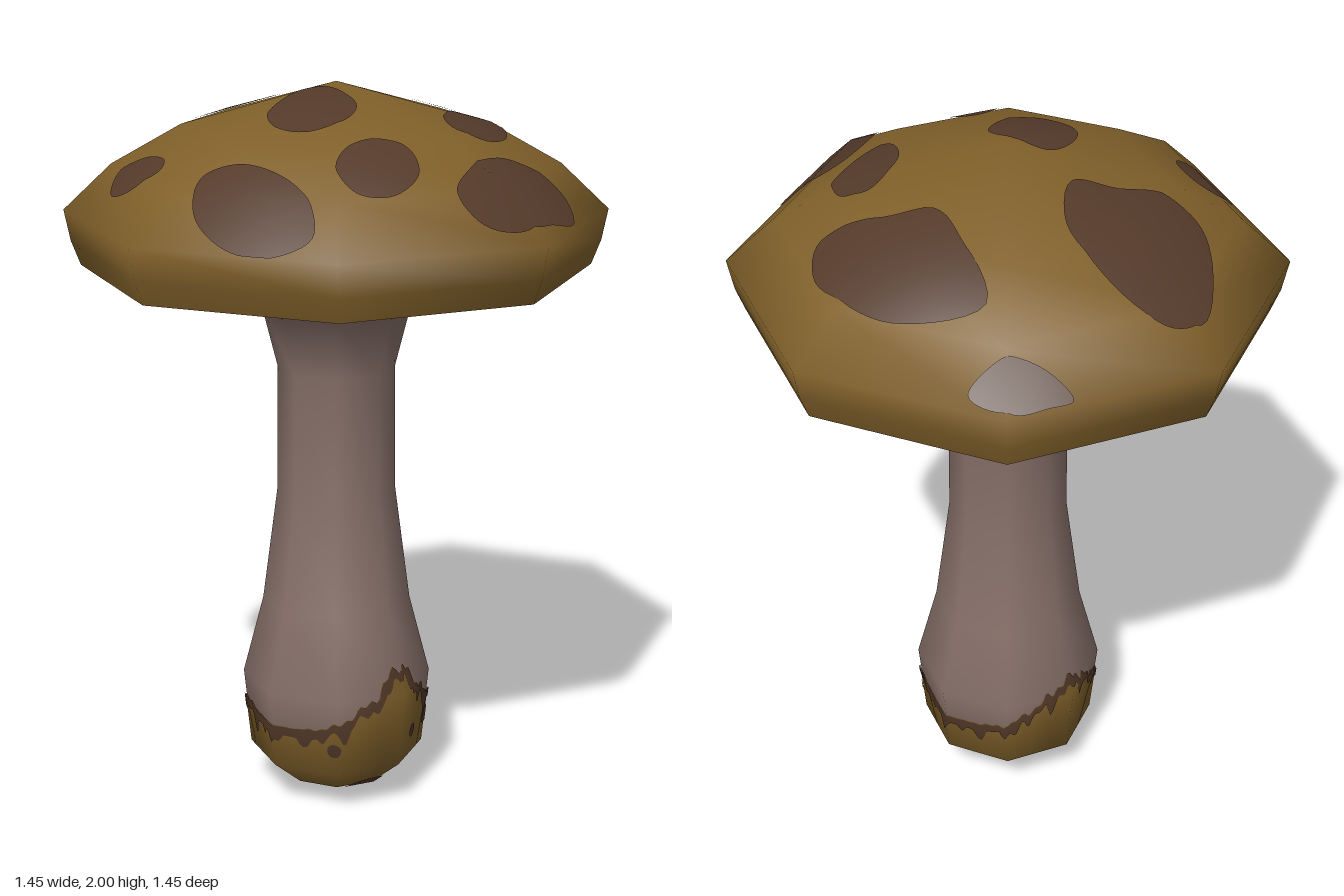
import * as THREE from 'three';

const STEP = Math.PI / 4; // both bodies are eight-sided

// Profiles as [radius, height], from bottom to top
const capProfile = [[0.685, 1.51], [0.71, 1.575], [0.727, 1.66], [0.597, 1.783], [0.41, 1.888], [0, 2]];
const stemProfile = [[0, 0], [0.145, 0.045], [0.24, 0.125], [0.262, 0.34], [0.205, 0.56], [0.163, 0.88],
  [0.16, 1.23], [0.2, 1.39], [0.39, 1.51], [0.685, 1.51]];

const material = (name, color) => {
  const m = new THREE.MeshStandardMaterial({ color });
  m.name = name;
  return m;
};

// Circumradius divided by distance from the axis, for an octagon
function octagonFactor(phi) {
  const a = ((phi % STEP) + STEP) % STEP;
  return Math.cos(a - STEP / 2) / Math.cos(STEP / 2);
}

// Smooth normal [radial, up] at each profile point
function profileNormals(profile) {
  const segment = profile.slice(1).map(([r, y], i) =>
    new THREE.Vector2(y - profile[i][1], profile[i][0] - r).normalize());
  return profile.map(([r], i) => {
    const a = segment[Math.max(i - 1, 0)], b = segment[Math.min(i, segment.length - 1)];
    const n = a.clone().add(b).normalize();
    return r === 0 ? new THREE.Vector2(0, Math.sign(n.y)) : n;
  });
}

// Interpolate a profile at a given radius (key 0) or height (key 1)
function sample(profile, key, value) {
  const normals = profileNormals(profile);
  for (let i = 0; i < profile.length - 1; i++) {
    const p = profile[i], q = profile[i + 1];
    const t = (value - p[key]) / (q[key] - p[key]);
    if (t >= -1e-6 && t <= 1 + 1e-6) {
      return {
        r: THREE.MathUtils.lerp(p[0], q[0], t),
        y: THREE.MathUtils.lerp(p[1], q[1], t),
        n: normals[i].clone().lerp(normals[i + 1], t).normalize(),
      };
    }
  }
  throw new Error('value outside profile');
}

// Point on an eight-sided body, lifted slightly along its normal
function surfacePoint(s, phi, lift) {
  const d = s.r / octagonFactor(phi);
  const normal = new THREE.Vector3(Math.sin(phi) * s.n.x, s.n.y, Math.cos(phi) * s.n.x);
  const position = new THREE.Vector3(Math.sin(phi) * d, s.y, Math.cos(phi) * d).addScaledVector(normal, lift);
  return { position, normal };
}

// Grid surface from a rule giving position and normal at (column, row)
function grid(columns, rows, rule) {
  const positions = [], normals = [], index = [];
  for (let i = 0; i <= columns; i++) {
    for (let j = 0; j <= rows; j++) {
      const { position, normal } = rule(i, j);
      positions.push(...position.toArray());
      normals.push(...normal.toArray());
      if (i < columns && j < rows) {
        const a = i * (rows + 1) + j, b = a + rows + 1;
        index.push(a, b, a + 1, b + 1, a + 1, b);
      }
    }
  }
  const g = new THREE.BufferGeometry();
  g.setAttribute('position', new THREE.Float32BufferAttribute(positions, 3));
  g.setAttribute('normal', new THREE.Float32BufferAttribute(normals, 3));
  g.setIndex(index);
  return g;
}

// Eight-sided smooth body
function body(profile) {
  const normals = profileNormals(profile);
  return grid(8, profile.length - 1, (i, j) =>
    surfacePoint({ r: profile[j][0] * octagonFactor(0), y: profile[j][1], n: normals[j] }, i * STEP, 0));
}

// Irregular patch lying on the cap, outlined by [x, z] points
function capSpot(points) {
  const curve = new THREE.CatmullRomCurve3(points.map(([x, z]) => new THREE.Vector3(x, 0, z)), true);
  let outline = curve.getPoints(48);
  if (!THREE.ShapeUtils.isClockWise(outline.map((p) => new THREE.Vector2(p.x, p.z)))) outline = outline.reverse();
  const centre = new THREE.Vector3();
  outline.slice(1).forEach((p) => centre.addScaledVector(p, 1 / 48));
  const top = capProfile.slice(2);
  return grid(48, 14, (i, j) => {
    const p = outline[i].clone().lerp(centre, j / 14);
    const phi = Math.atan2(p.x, p.z);
    const radius = Math.min(Math.hypot(p.x, p.z) * octagonFactor(phi), 0.726);
    return surfacePoint(sample(top, 0, radius), phi, 0.004);
  });
}

// Patch wrapped on the stem between two height rules
function stemBand(from, to, columns, low, high, lift) {
  const levels = stemProfile.slice(1, 5).map((p) => p[1]);
  return grid(columns, levels.length + 1, (i, j) => {
    const phi = from + (to - from) * i / columns;
    const lo = low(phi), hi = Math.max(high(phi), lo);
    const y = j === 0 ? lo : j > levels.length ? hi : THREE.MathUtils.clamp(levels[j - 1], lo, hi);
    return surfacePoint(sample(stemProfile, 1, y), phi, lift);
  });
}

export function createModel() {
  const model = new THREE.Group();
  model.name = 'mushroom';
  const ochre = material('ochre', 0x80602a);
  const brown = material('darkBrown', 0x543a2a);
  const pale = material('paleStem', 0x88716a);

  const add = (name, geometry, mat) => {
    const mesh = new THREE.Mesh(geometry, mat);
    mesh.name = name;
    model.add(mesh);
  };

  add('cap', body(capProfile), ochre);
  add('stemAndUnderside', body(stemProfile), pale);

  // Spots on the cap
  const spot = (name, points) => add(name, capSpot(points), brown);
  spot('backSpot', [[-0.31, -0.38], [-0.2, -0.51], [-0.05, -0.57], [0.11, -0.55], [0.2, -0.46],
    [0.17, -0.4], [0.08, -0.35], [-0.02, -0.265], [-0.15, -0.3]]);
  spot('backCornerSpot', [[-0.57, -0.35], [-0.55, -0.41], [-0.505, -0.5], [-0.4, -0.53], [-0.42, -0.45], [-0.5, -0.37]]);
  spot('rightSideSpot', [[-0.635, 0.02], [-0.59, -0.07], [-0.44, -0.11], [-0.28, -0.08], [-0.18, 0.05],
    [-0.25, 0.13], [-0.31, 0.23], [-0.41, 0.26], [-0.53, 0.18]]);
  spot('middleSpot', [[-0.065, 0.08], [0, 0.045], [0.13, 0.06], [0.19, 0.17], [0.16, 0.27], [0.07, 0.29], [-0.02, 0.23]]);
  spot('frontLeftSpot', [[0.3, 0.18], [0.38, 0.13], [0.45, 0.17], [0.47, 0.29], [0.42, 0.36], [0.33, 0.34]]);
  spot('backLeftSpot', [[0.2, -0.29], [0.26, -0.33], [0.35, -0.28], [0.39, -0.14], [0.35, -0.085], [0.25, -0.14]]);
  spot('leftSideSpot', [[0.46, -0.17], [0.54, -0.28], [0.62, -0.23], [0.655, -0.1], [0.68, 0.02],
    [0.62, 0.12], [0.54, 0.13], [0.49, 0]]);
  spot('frontSpot', [[0.05, 0.52], [0.1, 0.45], [0.22, 0.425], [0.36, 0.455], [0.415, 0.505], [0.35, 0.58], [0.23, 0.62], [0.1, 0.6]]);
  spot('frontRightSpot', [[-0.33, 0.47], [-0.27, 0.43], [-0.16, 0.46], [-0.13, 0.51], [-0.19, 0.55], [-0.28, 0.54]]);

  // Ochre foot with a ragged edge rising on both sides
  const edge = (phi) => {
    const s = Math.sin(phi);
    return 0.25 + 0.11 * s ** 4 + 0.06 * Math.abs(s) ** 40 * (s > 0 ? 1 : 0.5)
      + 0.01 * s * s * (Math.sin(19 * phi) + Math.sin(43 * phi + 1));
  };
  const drip = (phi) => 0.026 + 0.03 * Math.max(0, Math.sin(14 * phi + 2)) ** 3
    + 0.02 * Math.max(0, Math.sin(23 * phi)) ** 2;
  const turn = Math.PI * 2;
  add('foot', stemBand(0, turn, 192, () => 0, edge, 0.003), ochre);
  add('footDrips', stemBand(0, turn, 192, (p) => edge(p) - drip(p), edge, 0.006), brown);

  // Dark patches on the foot
  const side = Math.PI / 2;
  add('footBasePatch', stemBand(side - 0.7, side + 0.7, 32, () => 0.01,
    (p) => 0.01 + 0.065 * Math.sqrt(Math.max(0, 1 - ((p - side) / 0.7) ** 2)), 0.006), brown);
  [[1.9, 0.2, 0.02], [2.3, 0.21, 0.025], [0.75, 0.2, 0.02]].forEach(([phi, y, size]) => {
    const half = (p) => size * Math.sqrt(Math.max(0, 1 - ((p - phi) / (size * 4)) ** 2));
    add('footDot', stemBand(phi - size * 4, phi + size * 4, 16, (p) => y - half(p), (p) => y + half(p), 0.006), brown);
  });

  return model;
}
